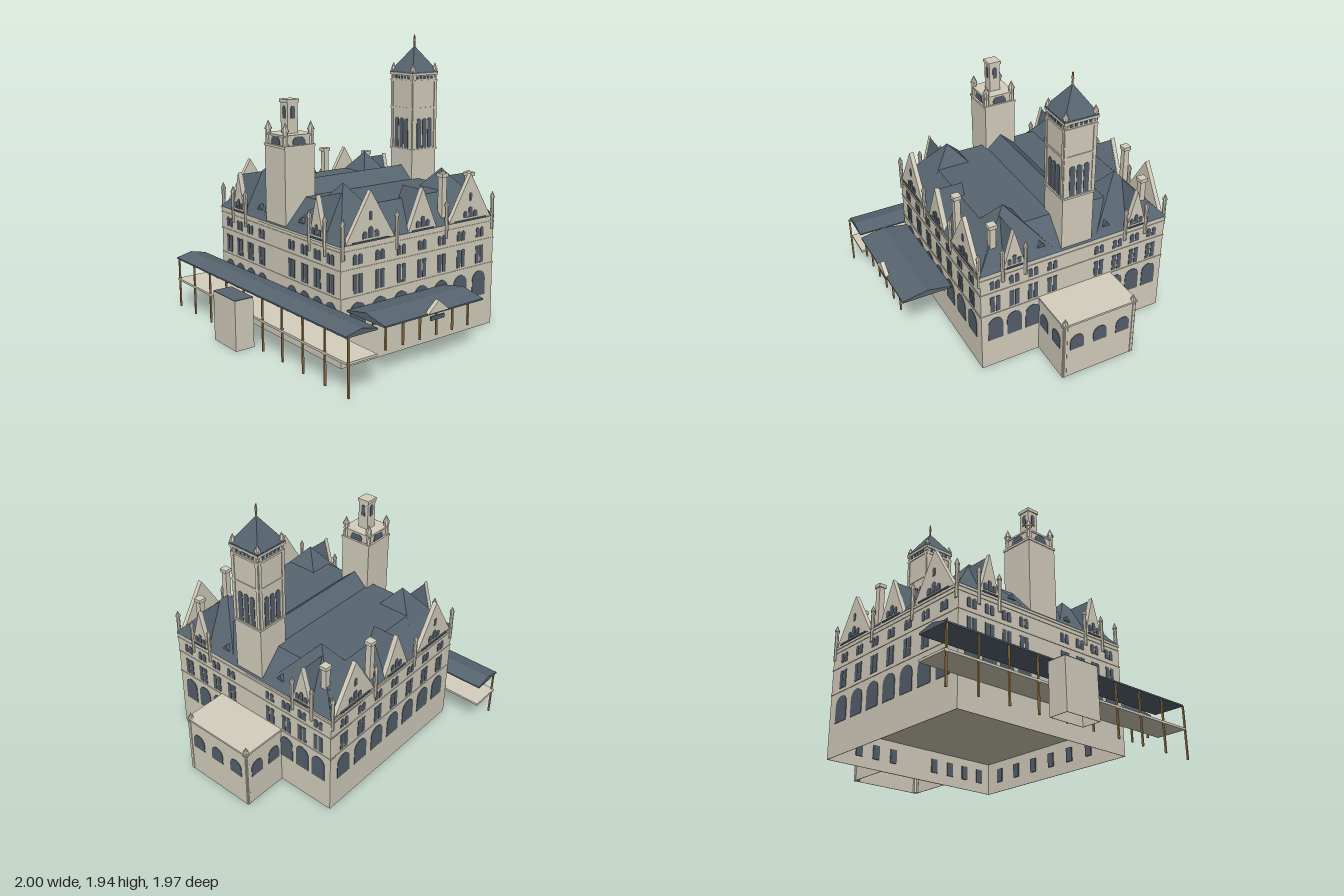
import * as THREE from 'three';
import { ConvexGeometry } from 'three/addons/geometries/ConvexGeometry.js';

const mat = (name, color) => {
  const m = new THREE.MeshStandardMaterial({ color });
  m.name = name;
  return m;
};
const STONE = mat('limestone', 0xd4cebd);
const SLATE = mat('slate', 0x576570);
const GLASS = mat('windowGlass', 0x55606c);
const WOOD = mat('bronzePosts', 0xa38252);

// Half sizes of the main block, eave height and flat roof height
const HX = 0.685, HZ = 0.645, EAVE = 0.76, TOP = 0.94;

function add(parent, name, geo, material, x = 0, y = 0, z = 0) {
  const m = new THREE.Mesh(geo, material);
  m.name = name;
  m.position.set(x, y, z);
  parent.add(m);
  return m;
}
// Box given by centre x, z and bottom and top heights
const box = (p, name, m, x, z, y0, y1, w, d) =>
  add(p, name, new THREE.BoxGeometry(w, y1 - y0, d), m, x, (y0 + y1) / 2, z);

function group(parent, name, x = 0, z = 0, turn = 0) {
  const g = new THREE.Group();
  g.name = name;
  g.position.set(x, 0, z);
  g.rotation.y = turn;
  parent.add(g);
  return g;
}
const hull = (p, name, m, pts) =>
  add(p, name, new ConvexGeometry(pts.map(q => new THREE.Vector3(...q))), m);

const pyramid = (p, name, m, x, z, y0, y1, hx, hz = hx) => hull(p, name, m, [
  [x - hx, y0, z - hz], [x + hx, y0, z - hz], [x + hx, y0, z + hz], [x - hx, y0, z + hz], [x, y1, z]]);

// Triangular prism whose outer face lies at z
function prism(p, name, m, x, z, hw, y0, y1, depth) {
  const s = new THREE.Shape([new THREE.Vector2(-hw, y0), new THREE.Vector2(hw, y0), new THREE.Vector2(0, y1)]);
  return add(p, name, new THREE.ExtrudeGeometry(s, { depth, bevelEnabled: false }), m, x, 0, z - depth);
}
// Thin window plate, arched or square
function windowPlate(p, x, z, w, y0, y1, arched = true) {
  const s = new THREE.Shape(), r = w / 2;
  s.moveTo(-r, y0);
  s.lineTo(r, y0);
  if (arched) s.absarc(0, y1 - r, r, 0, Math.PI);
  else { s.lineTo(r, y1); s.lineTo(-r, y1); }
  s.closePath();
  const geo = new THREE.ExtrudeGeometry(s, { depth: 0.009, bevelEnabled: false, curveSegments: 6 });
  add(p, 'window', geo, GLASS, x, 0, z - 0.0055);
}
// Four thin walls with a lid, open underneath
function shell(p, name, x, z, w, d, h, lid = STONE) {
  const g = group(p, name, x, z), t = 0.004;
  for (const s of [-1, 1]) {
    box(g, 'wall', STONE, 0, s * (d - t) / 2, 0, h, w, t);
    box(g, 'wall', STONE, s * (w - t) / 2, 0, 0, h, t, d - 2 * t);
  }
  box(g, 'lid', lid, 0, 0, h, h + 0.006, w, d);
  return g;
}
// Octagonal pinnacle with a collar and pointed cap
function pinnacle(p, x, z, y0, y1, w) {
  const cap = w * 1.4, r = w * 0.54, mid = y1 - cap;
  const part = (name, top, bottom, a, c) => {
    const geo = new THREE.CylinderGeometry(top, bottom, c - a, 8).toNonIndexed();
    geo.rotateY(Math.PI / 8);
    geo.computeVertexNormals();
    add(p, name, geo, STONE, x, (a + c) / 2, z);
  };
  part('pinnacle', r, r, y0, mid);
  part('pinnacleCollar', r * 1.3, r * 1.3, mid - 0.01, mid);
  part('pinnacleCap', 0.001, r * 1.2, mid, y1);
}
// Stone gable with windows, optional roof behind and flanking pinnacles
function gable(p, x, d, hw, peak, roofDepth, flank, ww, upper) {
  const g = group(p, 'gable', x, 0);
  prism(g, 'gableWall', STONE, 0, d + 0.004, hw, EAVE, peak, 0.03);
  if (roofDepth) prism(g, 'gableRoof', SLATE, 0, d - 0.02, hw * 0.97, EAVE, peak - 0.012, roofDepth - 0.02);
  for (const i of [-1, 0, 1]) windowPlate(g, i * ww * 1.25, d + 0.004, ww, 0.78, i ? 0.825 : 0.85);
  if (upper) windowPlate(g, 0, d + 0.004, 0.022, 0.89, 0.945);
  box(g, 'sill', SLATE, 0, d + 0.006, 0.758, 0.768, hw * 1.5, 0.012);
  for (const s of [-1, 1]) if (flank) pinnacle(g, s * flank, d, 0.67, 0.925, 0.024);
}

// One side of the main block
function facade(p, name, turn, d, half, bays, archW) {
  const g = group(p, name, 0, 0, turn);
  for (const u of bays) {
    windowPlate(g, u, d, archW, 0.22, 0.395);
    // Cellar window on the inner face of the wall
    windowPlate(g, u, d - 0.006, 0.05, 0.07, 0.165, false);
    for (const s of [-0.02, 0.02]) {
      windowPlate(g, u + s, d, 0.03, 0.45, 0.57, false);
      windowPlate(g, u + s, d, 0.03, 0.63, 0.695);
    }
  }
  for (const [y, h, o] of [[0.425, 0.01, 0.004], [0.6, 0.008, 0.004], [0.715, 0.008, 0.004], [0.742, 0.016, 0.005]])
    box(g, 'stringCourse', STONE, 0, d + o / 2, y, y + h, half * 2 + o, o);
  return g;
}

function cornerTurrets(p, r, y0, y1, w) {
  for (const sx of [-1, 1]) for (const sz of [-1, 1]) pinnacle(p, sx * r, sz * r, y0, y1, w);
}

function mainBlock(root) {
  const b = group(root, 'mainBlock', -0.045, -0.015);
  shell(b, 'lowerWalls', 0, 0, HX * 2, HZ * 2, 0.22);
  box(b, 'upperWalls', STONE, 0, 0, 0.226, EAVE, HX * 2, HZ * 2);

  const frontBays = [-0.585, -0.45, -0.315, -0.175, 0.175, 0.315, 0.45, 0.585];
  const sideBays = [-3, -2, -1, 0, 1, 2, 3].map(i => i * 0.172);
  for (const k of [0, 1]) {
    const f = facade(b, k ? 'backFacade' : 'frontFacade', k * Math.PI, HZ, HX, frontBays, 0.105);
    for (const s of [-1, 1]) {
      gable(f, s * 0.45, HZ, 0.075, 1.03, 0.2, 0.08, 0.028, false);
      // Little roof vents
      prism(f, 'roofVent', SLATE, s * 0.24, HZ - 0.03, 0.028, 0.81, 0.845, 0.08);
    }
    const e = facade(b, k ? 'leftFacade' : 'rightFacade', Math.PI / 2 + k * Math.PI, HX, HZ, sideBays, 0.12);
    for (const s of [-1, 1]) gable(e, s * 0.42, HX, 0.19, 1.07, 0, 0.21, 0.036, true);
    gable(e, 0, HX, 0.12, 1.03, 0.19, 0, 0.032, false);
  }

  // Roof: sloped skirt, raised central ridge and corner pyramids
  const ring = (o, y) => [[1, 1], [1, -1], [-1, 1], [-1, -1]].map(([x, z]) => [x * (HX - o), y, z * (HZ - o)]);
  hull(b, 'mainRoof', SLATE, [...ring(-0.006, EAVE - 0.002), ...ring(0.16, TOP)]);
  prism(b, 'ridgeRoof', SLATE, 0, 0.485, 0.1, TOP, 1.03, 0.97);
  for (const sx of [-1, 1]) {
    for (const sz of [-1, 1])
      pyramid(b, 'cornerRoof', SLATE, sx * 0.412, sz * 0.417, EAVE, 1.07, 0.273, 0.228);
    // Chimneys
    for (const [x, z, y] of [[0.635, -0.215, 1.09], [0.55, -0.54, 1.045]]) {
      box(b, 'chimney', STONE, sx * x, z, 0.8, y - 0.025, 0.04, 0.04);
      box(b, 'chimneyCap', STONE, sx * x, z, y - 0.025, y, 0.055, 0.055);
    }
  }

  // Front tower with a turreted crown
  const ft = group(b, 'frontTower', 0, 0.53);
  box(ft, 'shaft', STONE, 0, 0, EAVE, 1.27, 0.228, 0.228);
  box(ft, 'band', STONE, 0, 0, 1.262, 1.278, 0.238, 0.238);
  box(ft, 'crown', STONE, 0, 0, 1.278, 1.34, 0.21, 0.21);
  box(ft, 'crownLedge', STONE, 0, 0, 1.333, 1.345, 0.222, 0.222);
  cornerTurrets(ft, 0.097, 1.278, 1.425, 0.034);
  box(ft, 'lantern', STONE, 0, 0, 1.34, 1.54, 0.078, 0.078);
  box(ft, 'lanternCap', STONE, 0, 0, 1.54, 1.562, 0.09, 0.09);
  for (let i = 0; i < 4; i++) {
    const s = group(ft, 'towerSide', 0, 0, i * Math.PI / 2);
    windowPlate(s, 0, 0.105, 0.1, 1.28, 1.338);
    windowPlate(s, 0, 0.039, 0.03, 1.44, 1.52);
  }

  // Back tower with a slate spire
  const bt = group(b, 'spireTower', 0, -0.53);
  box(bt, 'shaft', STONE, 0, 0, EAVE, 1.66, 0.222, 0.222);
  for (const [y, w] of [[1.135, 0.236], [1.425, 0.23], [1.615, 0.232], [1.662, 0.238]])
    box(bt, 'band', STONE, 0, 0, y, y + 0.014, w, w);
  box(bt, 'spireBase', SLATE, 0, 0, 1.676, 1.686, 0.238, 0.238);
  pyramid(bt, 'spire', SLATE, 0, 0, 1.686, 1.86, 0.117);
  cornerTurrets(bt, 0.102, 1.64, 1.745, 0.028);
  add(bt, 'finialRod', new THREE.CylinderGeometry(0.005, 0.007, 0.05, 8), WOOD, 0, 1.87, 0);
  add(bt, 'finialTip', new THREE.CylinderGeometry(0.004, 0.009, 0.045, 8), WOOD, 0, 1.913, 0);
  for (let i = 0; i < 4; i++) {
    const s = group(bt, 'towerSide', 0, 0, i * Math.PI / 2);
    for (const x of [-0.05, 0, 0.05]) windowPlate(s, x, 0.111, 0.038, 1.155, 1.365);
    for (let k = -2; k <= 2; k++) windowPlate(s, k * 0.033, 0.111, 0.02, 1.637, 1.657, false);
    for (const x of [-0.1, 0.1]) box(s, 'cornerStrip', STONE, x, 0.112, 1.15, 1.62, 0.022, 0.008);
  }
}

function annexes(root) {
  // Rear porch
  const a = shell(root, 'rearPorch', -0.043, -0.82, 0.535, 0.32, 0.42);
  box(a, 'porchParapet', STONE, 0, 0, 0.426, 0.44, 0.547, 0.332);
  const back = group(a, 'porchBack', 0, 0, Math.PI);
  for (const x of [-0.17, 0, 0.17]) windowPlate(back, x, 0.16, 0.1, 0.22, 0.335);
  for (const s of [-1, 1]) {
    const side = group(a, 'porchSide', 0, 0, s * Math.PI / 2);
    for (const x of [-0.077, 0.077]) windowPlate(side, x - s * 0.01, 0.2675, 0.1, 0.22, 0.335);
    pinnacle(a, s * 0.252, -0.145, 0, 0.48, 0.036);
  }
  // Front stair box
  shell(root, 'stairBox', -0.117, 0.918, 0.267, 0.134, 0.33, SLATE);
}

function canopies(root) {
  // Front platform and its shallow pitched canopy
  const f = group(root, 'frontCanopy');
  box(f, 'platform', STONE, -0.008, 0.742, 0.193, 0.208, 1.984, 0.22);
  box(f, 'canopyEdge', SLATE, -0.008, 0.742, 0.352, 0.362, 1.984, 0.228);
  const roof = prism(f, 'canopyRoof', SLATE, 0, 0, 0.114, 0.362, 0.388, 1.984);
  roof.rotation.y = Math.PI / 2;
  roof.position.set(-1, 0, 0.742);
  for (let i = 0; i < 10; i++)
    box(f, 'post', WOOD, -0.984 + i * 0.2195, 0.846, 0, 0.355, 0.011, 0.011);

  // Side canopy, pitched along its length, with a small pediment
  const s = group(root, 'sideCanopy');
  box(s, 'canopyEdge', SLATE, 0.817, 0.187, 0.352, 0.362, 0.35, 0.795);
  prism(s, 'canopyRoof', SLATE, 0.817, 0.5845, 0.175, 0.362, 0.395, 0.795);
  for (let i = 0; i < 6; i++) box(s, 'post', WOOD, 0.97, 0.56 - i * 0.132, 0.207, 0.36, 0.011, 0.011);
  const ped = group(s, 'pediment', 0, 0.17, Math.PI / 2);
  prism(ped, 'pedimentGable', STONE, 0, 0.998, 0.085, 0.36, 0.432, 0.03);
  box(ped, 'signBoard', GLASS, 0, 0.985, 0.312, 0.338, 0.11, 0.009);
}

export function createModel() {
  const root = new THREE.Group();
  root.name = 'railwayStation';
  mainBlock(root);
  annexes(root);
  canopies(root);
  return root;
}
